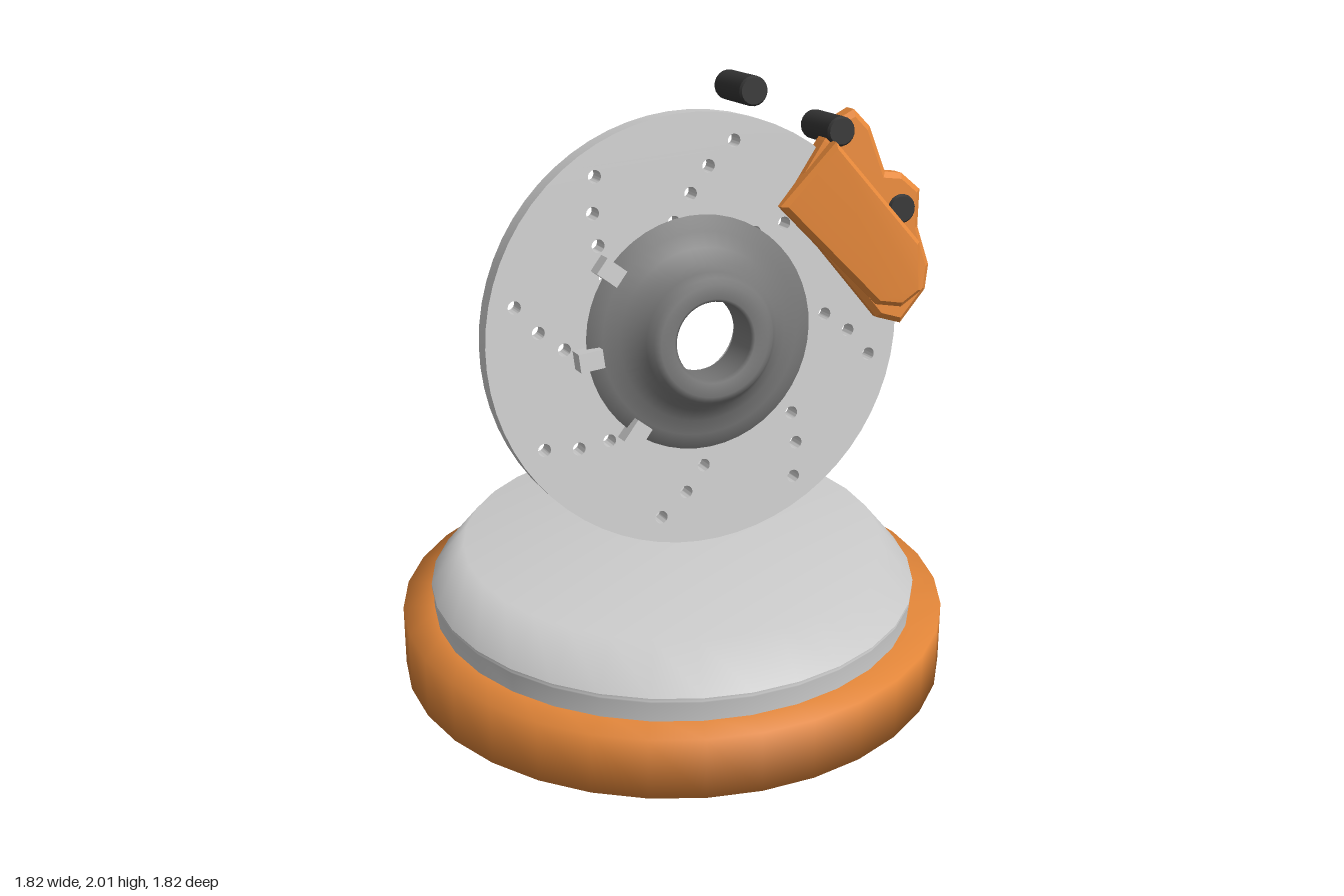
import * as THREE from 'three';
import { toCreasedNormals } from 'three/addons/utils/BufferGeometryUtils.js';

const material = (color, side = THREE.FrontSide) => new THREE.MeshStandardMaterial({ color, side });
const grey = material(0xcccccc);
const orange = material(0xe6883a);
const dark = material(0x333333);
const hubGrey = material(0x777777, THREE.DoubleSide);

function add(parent, name, geometry, mat) {
  const mesh = new THREE.Mesh(geometry, mat);
  mesh.name = name;
  parent.add(mesh);
  return mesh;
}

const points = (list) => list.map(([x, y]) => new THREE.Vector2(x, y));

function circlePath(x, y, r) {
  const path = new THREE.Path();
  path.absarc(x, y, r, 0, Math.PI * 2, true);
  return path;
}

// Drilled disc: eight swept rows of four holes around a centre bore
function discGeometry(radius, thickness) {
  const shape = new THREE.Shape();
  shape.absarc(0, 0, radius, 0, Math.PI * 2, false);
  shape.holes.push(circlePath(0, 0, 0.155));
  const row = [[0.617, 0], [0.53, 7.5], [0.445, 14.5], [0.365, 24]];
  for (let i = 0; i < 8; i++) {
    for (const [r, sweep] of row) {
      const a = THREE.MathUtils.degToRad(72.5 + i * 45 + sweep);
      shape.holes.push(circlePath(r * Math.cos(a), r * Math.sin(a), 0.021));
    }
  }
  const geo = new THREE.ExtrudeGeometry(shape, { depth: thickness, bevelEnabled: false, curveSegments: 32 });
  geo.translate(0, 0, -thickness / 2);
  return toCreasedNormals(geo, 0.6);
}

// Bevelled plate cut from an outline, lying between two heights over the disc
function plate(outline, bottom, top, bevel) {
  const geo = new THREE.ExtrudeGeometry(new THREE.Shape(points(outline)), {
    depth: top - bottom - 2 * bevel, bevelThickness: bevel, bevelSize: bevel,
    bevelOffset: -bevel, bevelSegments: 1,
  });
  geo.translate(0, 0, bottom + bevel);
  return geo;
}

export function createModel() {
  const model = new THREE.Group();
  model.name = 'brakeDiscTrophy';

  // Round base
  add(model, 'base', new THREE.LatheGeometry(
    points([[0, 0], [0.91, 0], [0.91, 0.21], [0.78, 0.21]]), 32), orange);
  add(model, 'plinth', new THREE.LatheGeometry(
    points([[0.805, 0.2], [0.805, 0.275], [0.812, 0.285], [0.802, 0.29], [0.812, 0.295], [0.7, 0.435], [0, 0.435]]), 32), grey);

  // Tilted assembly: local z is the disc axis
  const brake = new THREE.Group();
  brake.name = 'brakeAssembly';
  brake.position.set(-0.005, 1.205, 0.09);
  brake.quaternion.setFromUnitVectors(
    new THREE.Vector3(0, 0, 1), new THREE.Vector3(-0.5, 0.16, 0.85).normalize());
  model.add(brake);

  add(brake, 'disc', discGeometry(0.7, 0.072), grey);

  // Flared hub with a through bore
  const hubProfile = points([
    [0.37, 0.036], [0.38, 0.055], [0.33, 0.068], [0.28, 0.087], [0.24, 0.115], [0.215, 0.15],
    [0.2, 0.178], [0.18, 0.19], [0.135, 0.19], [0.125, 0.18], [0.125, 0.036]]);
  const hub = new THREE.LatheGeometry(hubProfile, 48);
  hub.rotateX(Math.PI / 2);
  add(brake, 'hub', hub, hubGrey);

  // Tabs beside the hub flange
  for (const degrees of [138, 182, 228]) {
    const a = THREE.MathUtils.degToRad(degrees);
    const tab = add(brake, 'hubTab', new THREE.BoxGeometry(0.08, 0.06, 0.06), grey);
    tab.position.set(0.378 * Math.cos(a), 0.378 * Math.sin(a), 0.066);
    tab.rotation.z = a;
  }

  // Caliper: eared body and a raised cover sloping down toward the hub
  const caliper = new THREE.Group();
  caliper.name = 'caliper';
  brake.add(caliper);
  const body = [
    [0.616, -0.06], [0.699, -0.094], [0.798, 0.003], [0.817, 0.083], [0.787, 0.216],
    [0.804, 0.337], [0.743, 0.4], [0.685, 0.413], [0.643, 0.567], [0.593, 0.63],
    [0.548, 0.612], [0.48, 0.545], [0.33, 0.36]];
  add(caliper, 'caliperBody', plate(body, -0.01, 0.08, 0.018), orange);

  const cover = plate([
    [0.607, -0.01], [0.689, -0.03], [0.757, 0.014], [0.765, 0.176],
    [0.499, 0.545], [0.31, 0.358]], 0.03, 0.13, 0.015);
  const pos = cover.attributes.position;
  for (let i = 0; i < pos.count; i++) {
    if (pos.getZ(i) < 0.08) continue;
    const reach = pos.getX(i) * 0.9 + pos.getY(i) * 0.43;
    pos.setZ(i, pos.getZ(i) - THREE.MathUtils.clamp((0.68 - reach) * 0.2, 0, 0.05));
  }
  cover.computeVertexNormals();
  add(caliper, 'caliperCover', toCreasedNormals(cover, 0.4), orange);

  // Three pins parallel to the disc axis
  for (const degrees of [71.6, 46.9, 21.6]) {
    const a = THREE.MathUtils.degToRad(degrees);
    const profile = points([[0, -0.11], [0.042, -0.11], [0.048, -0.102], [0.048, 0.102], [0.042, 0.11], [0, 0.11]]);
    const geo = toCreasedNormals(new THREE.LatheGeometry(profile, 20), 0.6);
    geo.rotateX(Math.PI / 2);
    add(brake, 'pin', geo, dark).position.set(0.78 * Math.cos(a), 0.78 * Math.sin(a), -0.02);
  }

  return model;
}
